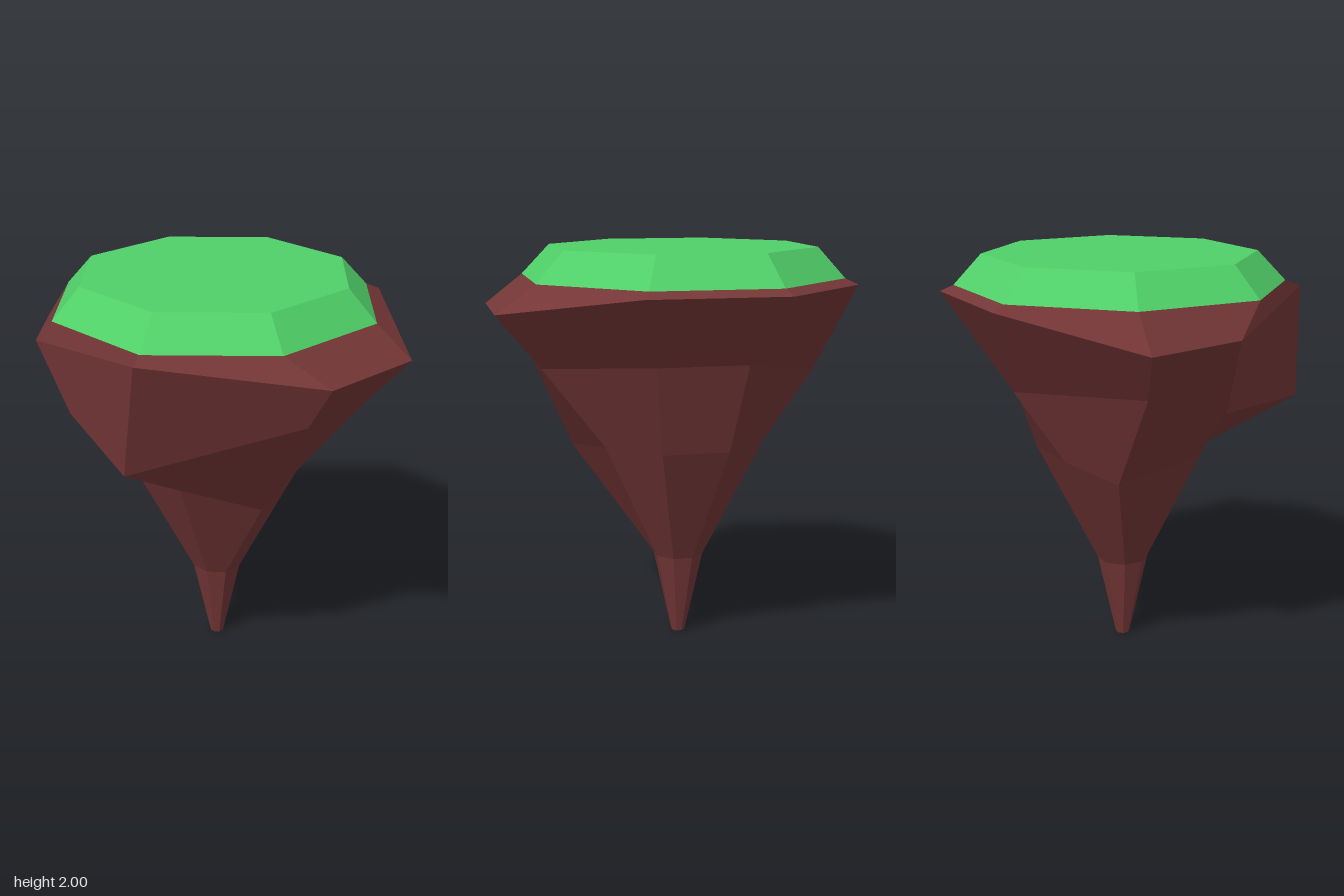
import * as THREE from 'three';

const SIDES = 8;

// Eight-sided ring, counted from the front (+z) towards +x.
// "moved" replaces single corners to make the rock irregular.
function ring(y, radius, cz = -0.03, moved = {}) {
  return Array.from({ length: SIDES }, (_, i) => {
    const a = (i / SIDES) * Math.PI * 2;
    return moved[i] ?? [-0.018 + radius * Math.sin(a), y, cz + radius * Math.cos(a)];
  });
}

// Skin over rings listed from bottom to top, with optional end caps.
// Each four-sided facet has one normal, so bent facets shade as one face.
function loft(rings, capBottom, capTop) {
  const pos = [], nor = [];
  const edge = (a, b) => new THREE.Vector3(...b).sub(new THREE.Vector3(...a));
  const tri = (a, b, c, n) => {
    pos.push(...a, ...b, ...c);
    for (let k = 0; k < 3; k++) nor.push(n.x, n.y, n.z);
  };
  for (let r = 0; r < rings.length - 1; r++) {
    const lo = rings[r], hi = rings[r + 1];
    for (let i = 0; i < SIDES; i++) {
      const j = (i + 1) % SIDES;
      const n = edge(lo[i], hi[j]).cross(edge(lo[j], hi[i])).normalize();
      tri(lo[i], lo[j], hi[i], n);
      tri(lo[j], hi[j], hi[i], n);
    }
  }
  const bottom = rings[0], top = rings[rings.length - 1];
  const up = new THREE.Vector3(0, 1, 0), down = new THREE.Vector3(0, -1, 0);
  for (let i = 1; i < SIDES - 1; i++) {
    if (capBottom) tri(bottom[0], bottom[i + 1], bottom[i], down);
    if (capTop) tri(top[0], top[i], top[i + 1], up);
  }
  const geometry = new THREE.BufferGeometry();
  geometry.setAttribute('position', new THREE.Float32BufferAttribute(pos, 3));
  geometry.setAttribute('normal', new THREE.Float32BufferAttribute(nor, 3));
  return geometry;
}

export function createModel() {
  const group = new THREE.Group();
  group.name = 'floatingIsland';

  const earth = new THREE.MeshStandardMaterial({ name: 'earthBrown', color: 0x743636 });
  const green = new THREE.MeshStandardMaterial({ name: 'grassGreen', color: 0x50d068 });

  const add = (name, geometry, material) => {
    const mesh = new THREE.Mesh(geometry, material);
    mesh.name = name;
    group.add(mesh);
  };

  // Edge where the grass meets the earth
  const seam = ring(1.85, 0.815, -0.04);

  // Tapering rock underside, from the tip up to the overhanging rim
  add('rock', loft([
    ring(0, 0.035),
    ring(0.42, 0.128),
    ring(1.03, 0.435, -0.03, {
      0: [0, 0.98, 0.52],
      5: [-0.31, 0.96, -0.41],
    }),
    ring(1.475, 0.585, -0.03, {
      0: [0.155, 1.445, 0.68],
      1: [0.49, 1.445, 0.54],
      4: [0.075, 1.41, -0.71],
      5: [-0.54, 1.42, -0.48],
      6: [-0.74, 1.33, -0.15],
      7: [-0.68, 1.28, 0.53],
    }),
    ring(1.82, 0.885, -0.035, {
      0: [0.155, 1.715, 0.915],
      1: [0.655, 1.715, 0.71],
      5: [-0.7, 1.67, -0.655],
      6: [-0.87, 1.7, -0.23],
      7: [-0.645, 1.82, 0.595],
    }),
    seam,
  ], true, false), earth);

  // Bevelled grass slab on top
  add('grass', loft([seam, ring(2, 0.675, -0.045)], false, true), green);

  return group;
}
